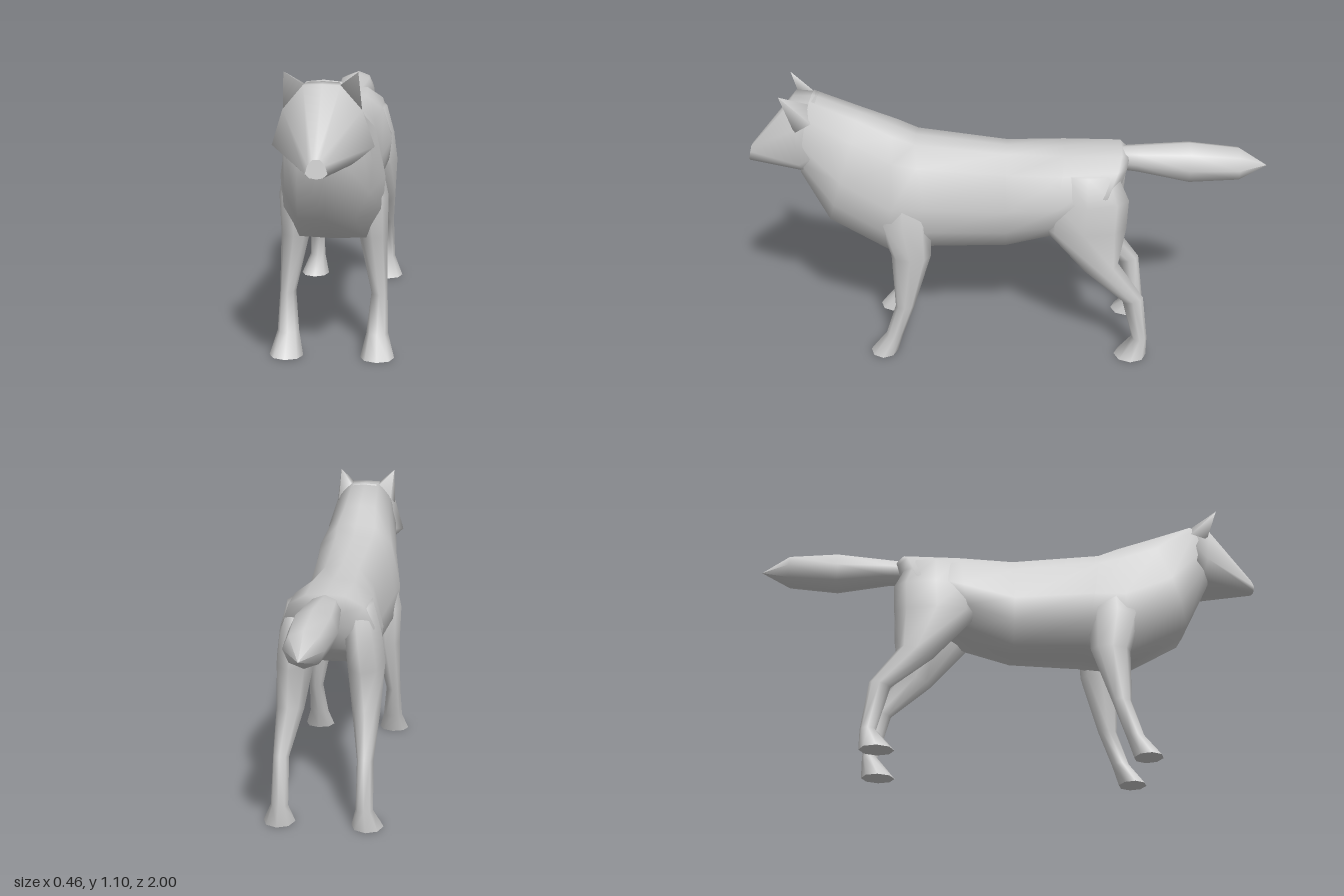
import * as THREE from 'three';

const material = new THREE.MeshStandardMaterial({ color: 0xcccccc, side: THREE.DoubleSide });
const { lerp } = THREE.MathUtils;

// Skin over a list of closed rings of [x, y, z]; ends are closed with fans.
function loft(name, rings, sharpEnd = false) {
  const n = rings[0].length, last = rings.length - 1, pos = [], idx = [];
  const add = (p) => pos.push(...p) / 3 - 1;
  rings.forEach((ring) => ring.forEach(add));
  for (let r = 0; r < last; r++) {
    for (let i = 0; i < n; i++) {
      const a = r * n + i, b = r * n + (i + 1) % n;
      idx.push(a, b, a + n, b, b + n, a + n);
    }
  }
  for (const r of [0, last]) {
    let base = r * n;
    if (r && sharpEnd) {
      base = pos.length / 3;
      rings[r].forEach(add);
    }
    const mid = add([0, 1, 2].map((k) => rings[r].reduce((s, p) => s + p[k], 0) / n));
    for (let i = 0; i < n; i++) {
      const a = base + i, b = base + (i + 1) % n;
      idx.push(mid, ...(r ? [a, b] : [b, a]));
    }
  }

  // Turn the faces outward if the enclosed volume is negative
  const corner = (i) => new THREE.Vector3().fromArray(pos, idx[i] * 3);
  let volume = 0;
  for (let i = 0; i < idx.length; i += 3) {
    volume += corner(i).dot(corner(i + 1).cross(corner(i + 2)));
  }
  if (volume < 0) idx.reverse();

  const geo = new THREE.BufferGeometry();
  geo.setAttribute('position', new THREE.Float32BufferAttribute(pos, 3));
  geo.setIndex(idx);
  geo.computeVertexNormals();
  const mesh = new THREE.Mesh(geo, material);
  mesh.name = name;
  return mesh;
}

// Symmetric ring: a half profile of (width, height) fractions fitted between a top and a bottom point
function profileRing(profile, [topY, topZ, lowY, lowZ, halfWidth]) {
  const half = profile.map(([w, h]) => [w * halfWidth, lerp(lowY, topY, h), lerp(lowZ, topZ, h)]);
  const mirrored = half.slice(1, -1).reverse().map(([x, y, z]) => [-x, y, z]);
  return [...half, ...mirrored];
}

// Eight directions around an oval
const oval = (place) => Array.from({ length: 8 }, (_, i) => {
  const a = (i / 8) * Math.PI * 2;
  return place(Math.cos(a), Math.sin(a));
});

// Leg ring: inner x, outer x, front z, back z, height, and how far the front edge dips
const legRing = ([inner, outer, front, back, y, dip = 0], side) => oval((c, s) => [
  side * lerp(inner, outer, (1 + c) / 2),
  y - dip * (1 + s) / 2,
  lerp(back, front, (1 + s) / 2),
]);

export function createModel() {
  const model = new THREE.Group();
  model.name = 'wolf';

  // Neck, chest, belly and rump: top y, z, bottom y, z, half width
  const bodyProfile = [[0, 1], [.42, .98], [.8, .82], [1, .46], [.95, .22], [.64, .01], [0, 0]];
  const body = [
    [1.06, .74, .77, .79, .135],
    [.99, .56, .57, .69, .155],
    [.935, .43, .435, .44, .19],
    [.9, .35, .465, .28, .18],
    [.86, 0, .465, 0, .155],
    [.86, -.22, .525, -.18, .185],
    [.86, -.44, .61, -.34, .17],
    [.84, -.47, .65, -.41, .1],
  ];
  model.add(loft('body', body.map((s) => profileRing(bodyProfile, s))));

  // Head: back of the skull, flared cheeks, tapering to a blunt nose
  const headProfile = [[0, 1], [.36, .99], [.77, .7], [1, .27], [.6, .06], [0, 0]];
  const head = [
    [1.055, .72, .78, .74, .135],
    [1.055, .81, .77, .765, .17],
    [.845, .99, .785, 1, .036],
  ];
  model.add(loft('head', head.map((s) => profileRing(headProfile, s)), true));

  // Tail: z, centre y, half width, half height
  const tail = [
    [-.38, .815, .05, .04],
    [-.5, .813, .065, .05],
    [-.7, .8, .085, .08],
    [-.89, .797, .07, .064],
    [-1, .79, 0, 0],
  ];
  model.add(loft('tail', tail.map(([z, y, w, h]) => oval((c, s) => [c * w, y + s * h, z]))));

  // Legs from shoulder or hip down to the paw
  const frontLeg = [
    [.06, .16, .46, .33, .78],
    [.07, .2, .5, .29, .59],
    [.09, .197, .45, .295, .44],
    [.14, .2, .44, .365, .22],
    [.125, .205, .485, .415, .08],
    [.105, .23, .55, .44, 0],
  ];
  const hindLeg = [
    [.05, .16, -.2, -.42, .8],
    [.05, .19, -.15, -.47, .69],
    [.06, .205, -.14, -.465, .575],
    [.09, .195, -.31, -.44, .42, .04],
    [.125, .185, -.465, -.545, .27, .02],
    [.125, .19, -.51, -.57, .08],
    [.105, .225, -.44, -.57, 0],
  ];
  for (const [label, side] of [['left', 1], ['right', -1]]) {
    model.add(loft(label + 'FrontLeg', frontLeg.map((s) => legRing(s, side)), true));
    model.add(loft(label + 'HindLeg', hindLeg.map((s) => legRing(s, side)), true));

    // Pointed ear
    const base = [[.05, 1.045, .8], [.13, .96, .79], [.115, .99, .73], [.06, 1.045, .74]];
    const tip = base.map(() => [.12, 1.1, .84]);
    const ear = [base, tip].map((ring) => ring.map(([x, y, z]) => [side * x, y, z]));
    model.add(loft(label + 'Ear', ear));
  }
  return model;
}
